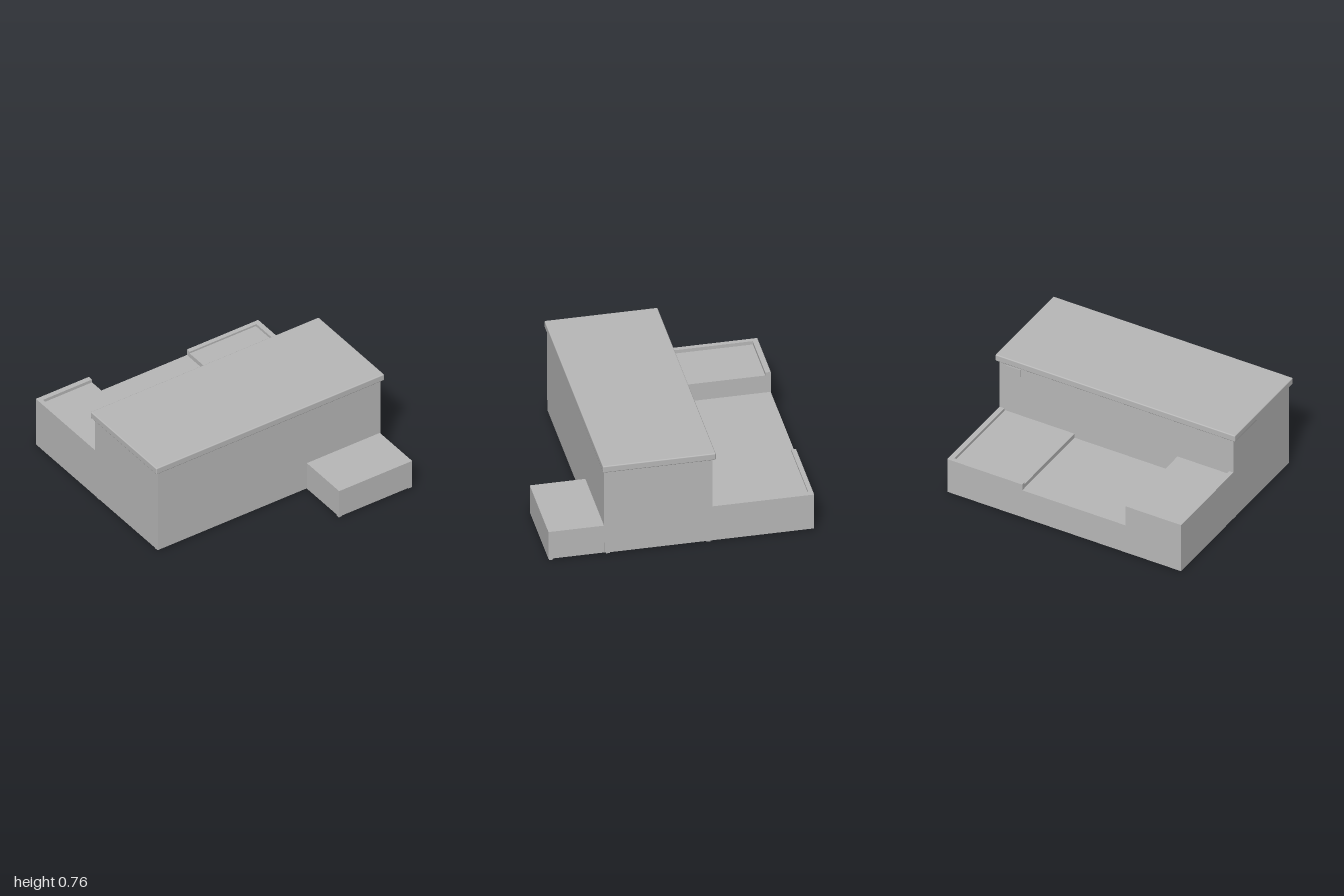
import * as THREE from 'three';
import { RoundedBoxGeometry } from 'three/addons/geometries/RoundedBoxGeometry.js';

export function createModel() {
  const model = new THREE.Group();
  model.name = 'counterWithPlatform';
  const grey = new THREE.MeshStandardMaterial({ color: 0xb8b8b8, side: THREE.DoubleSide });
  grey.name = 'plain grey';

  const add = (name, geometry, parent = model) => {
    const mesh = new THREE.Mesh(geometry, grey);
    mesh.name = name;
    parent.add(mesh);
    return mesh;
  };
  // box given by its limits on each axis
  const box = (name, [x0, x1], [y0, y1], [z0, z1], parent) => {
    const mesh = add(name, new THREE.BoxGeometry(x1 - x0, y1 - y0, z1 - z0), parent);
    mesh.position.set((x0 + x1) / 2, (y0 + y1) / 2, (z0 + z1) / 2);
    return mesh;
  };

  const W = 0.975, FLOOR = 0.01, BACK = -0.98, MID = -0.23;

  // tall counter: upper body, front board and kick board
  box('counterBody', [-W, W], [0.3, 0.71], [MID, 0.52]);
  box('frontBoard', [-W, W], [0.1, 0.71], [0.52, 0.57]);
  box('kickBoard', [-W, W], [FLOOR, 0.1], [0.52, 0.567]);
  box('socketPlate', [0.8, 0.92], [0.63, 0.69], [MID - 0.005, MID]);

  // counter top with softened edges
  const top = add('counterTop', new RoundedBoxGeometry(2, 0.055, 0.835, 2, 0.008));
  top.position.set(0, 0.7375, 0.1675);

  // base under the counter and the low middle seat
  box('counterBase', [-W, W], [FLOOR, 0.3], [MID, 0.52]);
  box('middleSeat', [-0.51, 0.35], [FLOOR, 0.25], [BACK, MID]);

  // taller rear box with a rim on its two outer edges
  const tall = new THREE.Group();
  tall.name = 'tallRearBox';
  model.add(tall);
  box('tallBoxCore', [-0.935, -0.51], [FLOOR, 0.395], [-0.94, MID], tall);
  box('tallBoxSide', [-W, -0.94], [FLOOR, 0.42], [BACK, MID], tall);
  box('tallBoxBack', [-0.94, -0.51], [FLOOR, 0.42], [BACK, -0.94], tall);

  // lower rear box: hollow, rimmed the same way, with a half-open floor
  const low = new THREE.Group();
  low.name = 'lowRearBox';
  model.add(low);
  box('lowBoxLid', [0.35, 0.93], [0.27, 0.285], [-0.945, MID], low);
  box('lowBoxSide', [0.935, W], [FLOOR, 0.3], [BACK, MID], low);
  box('lowBoxBack', [0.35, 0.935], [FLOOR, 0.3], [BACK, -0.945], low);
  box('lowBoxInnerSide', [0.35, 0.36], [0.24, 0.285], [-0.945, MID], low);
  const half = new THREE.Shape([
    new THREE.Vector2(W, BACK), new THREE.Vector2(W, MID), new THREE.Vector2(0.35, MID),
  ]);
  const floor = add('lowBoxFloor', new THREE.ShapeGeometry(half), low);
  floor.rotation.x = Math.PI / 2;
  floor.position.y = FLOOR;

  // front step: a shell that is open underneath
  const step = new THREE.Group();
  step.name = 'frontStep';
  model.add(step);
  const s = [0.33, 0.97], h = [FLOOR, 0.235], t = 0.01;
  box('stepTread', s, [0.235 - t, 0.24], [0.57, 0.98], step);
  box('stepFront', s, h, [0.98 - t, 0.98], step);
  for (const x of [s[0], s[1] - t]) box('stepSide', [x, x + t], h, [0.57, 0.98], step);

  // small levelling feet
  const foot = (x, z) => box('foot', [x - 0.015, x + 0.015], [0, FLOOR], [z - 0.015, z + 0.015]);
  for (const x of [-0.955, -0.545, 0.33, 0.955]) foot(x, 0.54);
  for (const x of [-0.955, 0.955]) foot(x, -0.2);
  for (const x of [0.345, 0.955]) foot(x, 0.96);

  return model;
}
